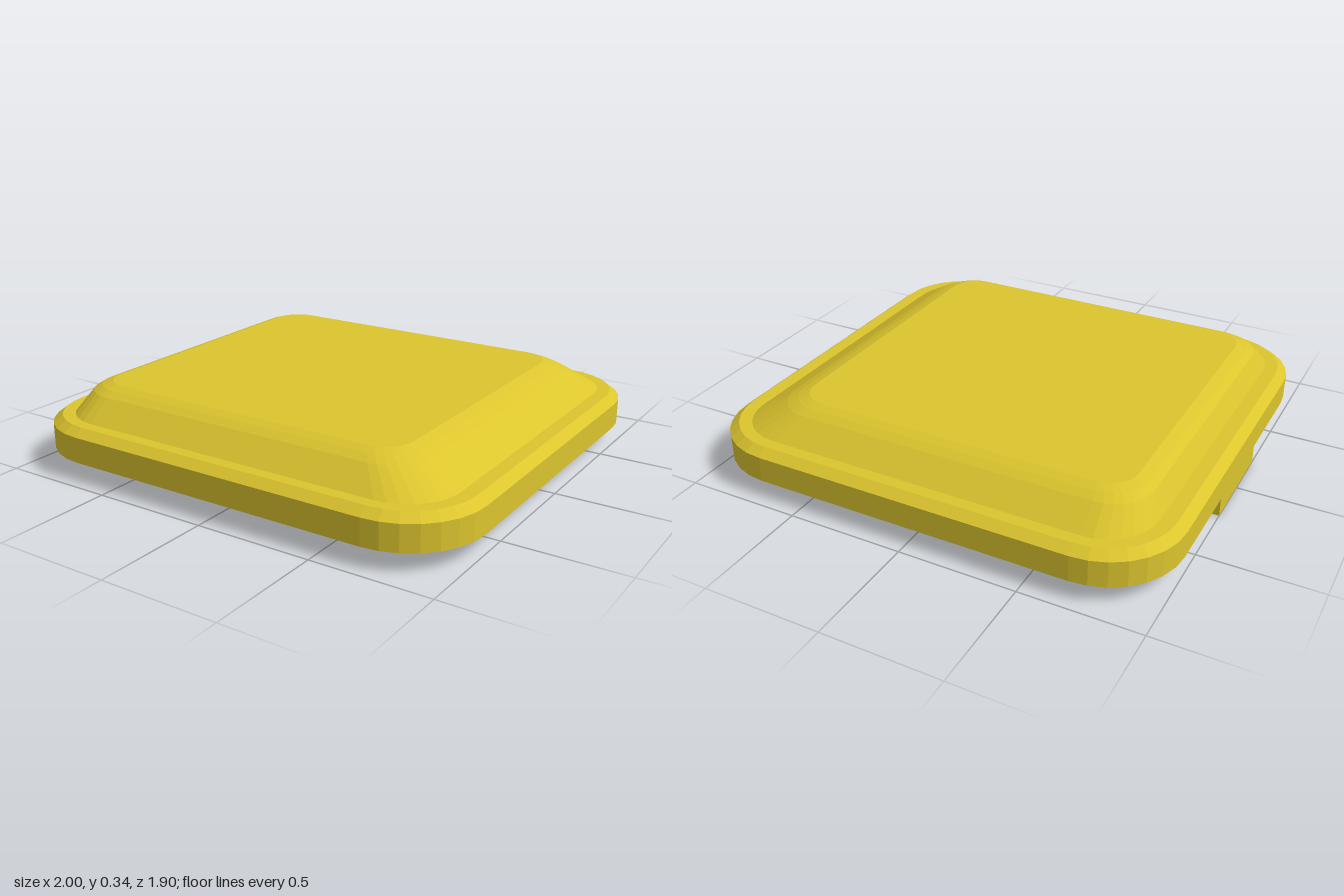
import * as THREE from 'three';

const CORNER_STEPS = 7;

// Rounded rectangle at height y, from x0 to x1 and -z to z, corner radius r
function ring(y, x0, x1, z, r) {
  const points = [];
  const corners = [[x1 - r, z - r], [x0 + r, z - r], [x0 + r, r - z], [x1 - r, r - z]];
  corners.forEach(([cx, cz], q) => {
    for (let i = 0; i <= CORNER_STEPS; i++) {
      const a = (q + i / CORNER_STEPS) * Math.PI / 2;
      points.push(new THREE.Vector3(cx + r * Math.cos(a), y, cz + r * Math.sin(a)));
    }
  });
  return points;
}

// Skin between successive rings, with optional caps on the first and last
function loft(rings, capStart, capEnd) {
  const verts = [];
  const tri = (...pts) => pts.forEach((p) => verts.push(p.x, p.y, p.z));
  const n = rings[0].length;
  for (let k = 0; k < rings.length - 1; k++) {
    for (let i = 0; i < n; i++) {
      const j = (i + 1) % n;
      const [lo, hi] = [rings[k], rings[k + 1]];
      tri(lo[i], hi[i], lo[j]);
      tri(lo[j], hi[i], hi[j]);
    }
  }
  const cap = (loop, up) => {
    const c = loop.reduce((s, p) => s.add(p), new THREE.Vector3()).divideScalar(n);
    loop.forEach((p, i) => {
      const q = loop[(i + 1) % n];
      if (up) tri(c, q, p); else tri(c, p, q);
    });
  };
  if (capStart) cap(rings[0], false);
  if (capEnd) cap(rings[rings.length - 1], true);
  const geo = new THREE.BufferGeometry();
  geo.setAttribute('position', new THREE.Float32BufferAttribute(verts, 3));
  geo.computeVertexNormals();
  return geo;
}

export function createModel() {
  const group = new THREE.Group();
  group.name = 'lid';
  const material = new THREE.MeshStandardMaterial({ color: 0xdcc52e, flatShading: true });
  const add = (name, geometry) => {
    const mesh = new THREE.Mesh(geometry, material);
    mesh.name = name;
    group.add(mesh);
    return mesh;
  };

  // Shallow underside recess, rim wall, chamfer and ledge
  add('rim', loft([
    ring(0.14, -0.9, 0.9, 0.85, 0.22),
    ring(0.08, -0.9, 0.9, 0.85, 0.22),
    ring(0.08, -1, 1, 0.95, 0.32),
    ring(0.19, -1, 1, 0.95, 0.32),
    ring(0.22, -0.96, 0.96, 0.91, 0.28),
    ring(0.22, -0.9, 0.9, 0.86, 0.22),
  ], true, false));

  // Raised top, steeper on the tab side
  add('raisedTop', loft([
    ring(0.22, -0.9, 0.9, 0.86, 0.22),
    ring(0.305, -0.855, 0.76, 0.76, 0.17),
    ring(0.325, -0.825, 0.715, 0.725, 0.145),
    ring(0.34, -0.78, 0.67, 0.69, 0.12),
  ], false, true));

  // Tab hanging below one side
  add('tab', new THREE.BoxGeometry(0.1, 0.08, 0.44)).position.set(-0.95, 0.04, 0);

  return group;
}
